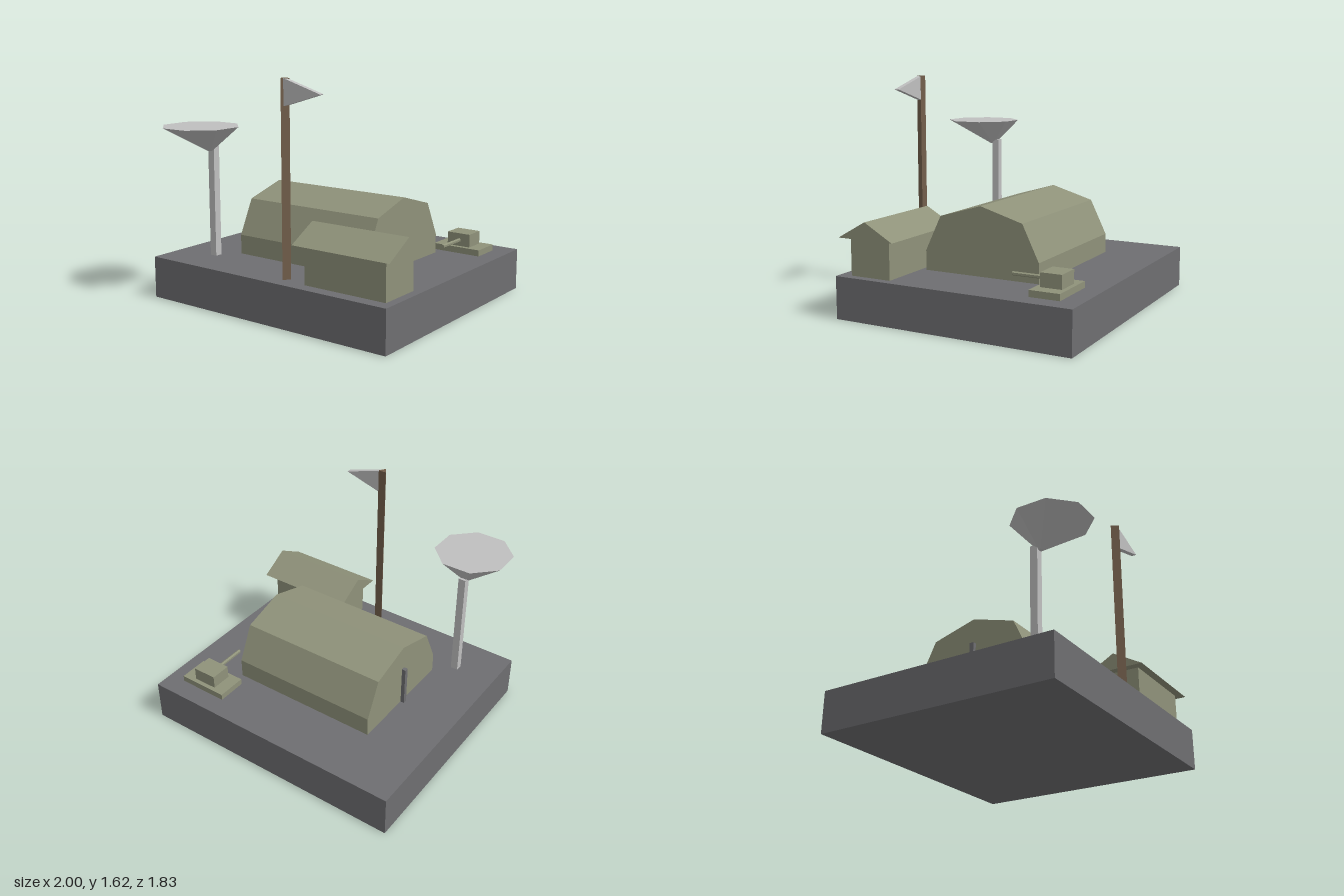
import * as THREE from 'three';

const mat = (name, color) => {
  const m = new THREE.MeshStandardMaterial({ color });
  m.name = name;
  m.flatShading = true;
  return m;
};

export function createModel() {
  const group = new THREE.Group();
  const concrete = mat('concrete grey', 0x6e6e71);
  const olive = mat('olive', 0x8f927a);
  const pale = mat('pale grey', 0xbfbfbf);
  const wood = mat('brown wood', 0x725e4b);

  const add = (name, geometry, material) => {
    const mesh = new THREE.Mesh(geometry, material);
    mesh.name = name;
    group.add(mesh);
    return mesh;
  };

  // Box given by its lower and upper limits on each axis
  const box = (name, material, [x0, x1], [y0, y1], [z0, z1]) =>
    add(name, new THREE.BoxGeometry(x1 - x0, y1 - y0, z1 - z0), material)
      .position.set((x0 + x1) / 2, (y0 + y1) / 2, (z0 + z1) / 2);

  // Prism running along x from a (z, y) outline
  const prismX = (name, material, outline, x0, x1) => {
    const shape = new THREE.Shape(outline.map(([z, y]) => new THREE.Vector2(-z, y)));
    const geo = new THREE.ExtrudeGeometry(shape, { depth: x1 - x0, bevelEnabled: false });
    geo.rotateY(Math.PI / 2).translate(x0, 0, 0);
    add(name, geo, material);
  };

  // Ground slab
  box('groundSlab', concrete, [-1, 1], [0, 0.3], [-0.914, 0.84]);

  // Hangar with a faceted roof, and its narrow door
  prismX('hangar', olive, [
    [0.4, 0.3], [0.4, 0.44], [0.28, 0.69], [-0.035, 0.782],
    [-0.35, 0.69], [-0.472, 0.44], [-0.472, 0.3],
  ], -0.56, 0.56);
  box('hangarDoor', concrete, [-0.588, -0.56], [0.3, 0.597], [-0.045, -0.015]);

  // Hut with an overhanging gable roof
  box('hutWalls', olive, [0.31, 0.94], [0.3, 0.568], [0.44, 0.752]);
  prismX('hutRoof', olive, [[0.808, 0.568], [0.592, 0.69], [0.375, 0.568]], 0.25, 1);

  // Three-sided flagpole and pennant
  add('flagpole', new THREE.CylinderGeometry(0.035, 0.035, 1.325, 3), wood)
    .position.set(0.123, 0.9625, 0.715);
  const pennant = new THREE.Shape([[0.13, 1.445], [0.43, 1.535], [0.13, 1.625]]
    .map(([x, y]) => new THREE.Vector2(x, y)));
  add('pennant', new THREE.ExtrudeGeometry(pennant, { depth: 0.036, bevelEnabled: false }), pale)
    .position.z = 0.698;

  // Radar mast and eight-sided dish, leaning forward from its foot
  box('radarMast', pale, [-0.714, -0.66], [0.3, 1.1], [0.505, 0.559]);
  const height = 0.185;
  const dish = new THREE.CylinderGeometry(0.279, 0.018, height, 8);
  dish.rotateY(Math.PI / 8).translate(0, height / 2, 0);
  const p = dish.attributes.position;
  for (let i = 0; i < p.count; i++) p.setZ(i, p.getZ(i) + 0.086 * p.getY(i) / height);
  dish.computeVertexNormals();
  add('radarDish', dish, pale).position.set(-0.687, 1.067, 0.569);

  // Gun vehicle: hull, turret and barrel
  box('gunHull', olive, [0.5, 0.87], [0.3, 0.345], [-0.772, -0.555]);
  box('gunTurret', olive, [0.595, 0.775], [0.345, 0.44], [-0.74, -0.588]);
  const barrel = add('gunBarrel', new THREE.CylinderGeometry(0.014, 0.014, 0.25, 6), olive);
  barrel.rotation.x = Math.PI / 2;
  barrel.position.set(0.69, 0.389, -0.473);

  return group;
}
